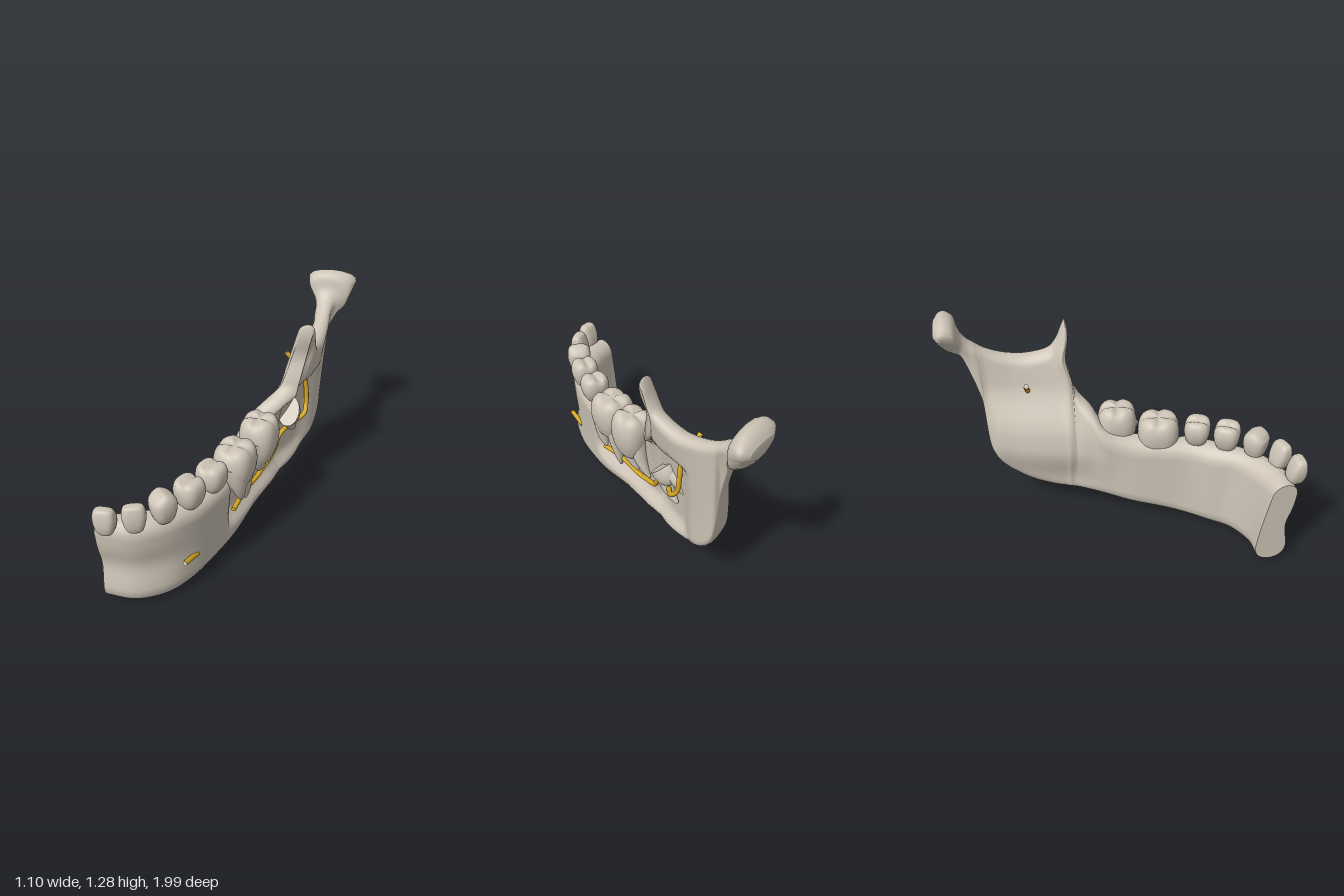
import * as THREE from 'three';
import { mergeVertices } from 'three/addons/utils/BufferGeometryUtils.js';

const bone = new THREE.MeshStandardMaterial({ color: 0xcdc4b6 });
bone.name = 'bone';
const nerve = new THREE.MeshStandardMaterial({ color: 0xd6a621 });
nerve.name = 'nerve yellow';
const { lerp, smoothstep, clamp } = THREE.MathUtils;

// Front arch stations: plan points (x, z) of inner bottom, outer bottom, inner top, outer top; then low y, high y
const arch = [
  [-.535, .735, -.535, .925, -.545, .81, -.545, .94, .01, .575],
  [-.40, .72, -.36, .92, -.42, .77, -.35, .925, 0, .58],
  [-.27, .64, -.20, .83, -.27, .68, -.19, .825, 0, .575],
  [-.20, .53, -.09, .68, -.20, .56, -.06, .67, .01, .57],
  [-.14, .41, .00, .49, -.13, .44, .03, .50, .035, .57],
  [-.10, .28, .07, .32, -.09, .28, .09, .32, .06, .58],
  [-.06, .10, .13, .10, -.05, .10, .15, .10, .095, .59],
];
// Ramus stations: z, low y, high y, inner and outer x at the bottom, inner and outer x at the top
const ramus = [
  [-.05, .12, .64, .01, .18, -.01, .20], [-.13, .13, .735, .05, .205, .09, .26],
  [-.20, .137, .80, .09, .215, .17, .32], [-.222, .138, .88, .10, .22, .23, .33],
  [-.232, .14, 1.14, .105, .222, .305, .38], [-.248, .14, 1.22, .11, .225, .31, .40],
  [-.27, .142, 1.18, .11, .235, .31, .405], [-.30, .143, 1.10, .12, .25, .305, .41],
  [-.36, .147, 1.04, .13, .28, .305, .415], [-.48, .17, 1.01, .16, .33, .315, .43],
  [-.58, .21, 1.015, .20, .36, .325, .43],
];
// Rear border, neck and condyle, in the same layout
const condyle = [
  [-.66, .265, 1.035, .24, .38, .33, .43], [-.72, .35, 1.06, .28, .39, .335, .43],
  [-.745, .45, 1.075, .29, .385, .335, .43], [-.76, .70, 1.085, .30, .37, .335, .435],
  [-.78, .80, 1.10, .31, .38, .33, .44], [-.82, .92, 1.13, .33, .42, .32, .45],
  [-.855, 1.00, 1.175, .35, .47, .27, .49], [-.88, 1.015, 1.25, .35, .50, .20, .56],
  [-.93, 1.045, 1.275, .34, .50, .18, .61], [-.97, 1.09, 1.255, .33, .50, .20, .61],
  [-.998, 1.14, 1.22, .35, .49, .28, .54],
];

// Skin closed rings of points; the first end gets a sharp flat cap
function loft(rings) {
  const pos = [], idx = [], n = rings[0].length, m = rings.length;
  const add = (p) => pos.push(p.x, p.y, p.z) / 3 - 1;
  const mid = (r) => r.reduce((s, p) => s.add(p), new THREE.Vector3()).divideScalar(n);
  rings.forEach((r) => r.forEach(add));
  const start = rings[0].map(add), c0 = add(mid(rings[0])), c1 = add(mid(rings[m - 1]));
  for (let j = 0; j < n; j++) {
    const k = (j + 1) % n;
    for (let i = 0; i < m - 1; i++) {
      const a = i * n + j, b = i * n + k;
      idx.push(a, a + n, b, b, a + n, b + n);
    }
    idx.push(c0, start[j], start[k], c1, (m - 1) * n + k, (m - 1) * n + j);
  }
  const g = new THREE.BufferGeometry();
  g.setAttribute('position', new THREE.Float32BufferAttribute(pos, 3));
  g.setIndex(idx);
  g.computeVertexNormals();
  return g;
}

const catmull = (a, b, c, d, t) =>
  b + .5 * t * (c - a + t * (2 * a - 5 * b + 4 * c - d + t * (3 * (b - c) + d - a)));

// One rounded upright slab section
function jawRing([ibx, ibz, obx, obz, itx, itz, otx, otz, yb, yt]) {
  const h = yt - yb, pts = [], ARC = 10, SIDE = 24;
  const rb = Math.min(Math.hypot(obx - ibx, obz - ibz) / 2, h * .48);
  const rt = Math.min(Math.hypot(otx - itx, otz - itz) / 2, h * .48);
  const put = (w, y) => {
    const v = Math.pow(Math.max(0, (y - yb) / h), 1.5), f = .5 + .5 * w;
    let x = lerp(lerp(ibx, itx, v), lerp(obx, otx, v), f);
    let z = lerp(lerp(ibz, itz, v), lerp(obz, otz, v), f);
    // outer wall cut back around the roots, under a rising ridge
    const ridge = .66 + .6 * clamp(-.1 - z, 0, .2);
    const cut = smoothstep(z, -.6, -.46) * (1 - smoothstep(z, .36, .42))
      * smoothstep(y, .17, .28) * (1 - smoothstep(y, ridge - .03, ridge + .05));
    x -= Math.max(0, w) * cut * .064;
    // swelling along the inner wall of the ramus
    const swell = smoothstep(z, -.8, -.68) * (1 - smoothstep(z, -.3, .02))
      * smoothstep(y, .2, .48) * (1 - smoothstep(y, .55, .85));
    x -= Math.max(0, -w) * swell * .08;
    // hollow of the chin, and hollow front edge of the coronoid
    z -= Math.max(0, w) * smoothstep(z, .6, .9) * .03 * Math.exp(-((y - .27) ** 2) / .012);
    z -= smoothstep(z, -.34, -.24) * (1 - smoothstep(z, -.22, -.1)) * .035 * Math.exp(-((y - 1) ** 2) / .008);
    pts.push(new THREE.Vector3(x, y, z));
  };
  for (const s of [-1, 1]) {
    for (let i = 0; i < ARC; i++) {
      const a = Math.PI * i / ARC;
      put(s * Math.cos(a), s < 0 ? yb + rb * (1 - Math.sin(a)) : yt - rt * (1 - Math.sin(a)));
    }
    for (let i = 0; i < SIDE; i++) put(-s, lerp(yb + rb, yt - rt, s < 0 ? i / SIDE : 1 - i / SIDE));
  }
  return pts;
}

function jawGeometry() {
  const keys = [...arch, ...[...ramus, ...condyle].map(([z, yb, yt, a, b, c, d]) =>
    [a, z, b, z, c, z, d, z, yb, yt])];
  const at = (i) => keys[clamp(i, 0, keys.length - 1)], rings = [], STEPS = 6;
  for (let n = 0; n <= (keys.length - 1) * STEPS; n++) {
    const i = Math.floor(n / STEPS), t = n / STEPS - i;
    rings.push(jawRing(keys[i].map((_, k) =>
      catmull(at(i - 1)[k], at(i)[k], at(i + 1)[k], at(i + 2)[k], t))));
  }
  return loft(rings);
}

// Stack of level ellipses, top to bottom: [x, y, z, radius x, radius z]
const stack = (levels) => loft(levels.map(([x, y, z, rx, rz]) => Array.from({ length: 20 }, (_, j) => {
  const a = j / 20 * Math.PI * 2;
  return new THREE.Vector3(x + rx * Math.cos(a), y, z - rz * Math.sin(a));
})));

// Tapering root along a bent line
function root(a, b, c, r) {
  const curve = new THREE.QuadraticBezierCurve3(...[a, b, c].map((p) => new THREE.Vector3(...p)));
  return stack(Array.from({ length: 13 }, (_, i) => {
    const t = i / 12, p = curve.getPoint(t), s = r * Math.sqrt(1.03 - t) * (1 - .25 * t);
    return [p.x, p.y, p.z, s, s];
  }));
}

// Crown from a squared-off ball: chisel edge, point, or fissured chewing face
function crown(kind, w, h, d) {
  const ball = new THREE.SphereGeometry(1, 36, 28);
  ball.deleteAttribute('uv');
  ball.deleteAttribute('normal');
  const g = mergeVertices(ball), p = g.attributes.position, e = kind === 'incisor' ? .68 : .75;
  const sq = (v, k) => Math.sign(v) * Math.pow(Math.abs(v), k);
  for (let i = 0; i < p.count; i++) {
    let x = sq(p.getX(i), e), y = sq(p.getY(i), .8), z = sq(p.getZ(i), e);
    const t = (y + 1) / 2, top = smoothstep(y, .3, .9);
    const fill = Math.min(1.3, Math.pow(Math.max(1e-3, 1 - y * y), -.14));
    const waist = (.8 + .2 * smoothstep(t, 0, .6)) * fill;
    x *= waist;
    z *= waist;
    if (kind === 'incisor') z = z * (1 - .5 * t) + .25 * t;
    if (kind === 'canine') y -= top * .25 * Math.abs(x);
    if (kind === 'premolar') y -= top * .2 * Math.exp(-((z + .1) ** 2) / .05);
    if (kind === 'molar') y -= top * .12 * Math.max(Math.exp(-x * x / .03), Math.exp(-z * z / .03));
    p.setXYZ(i, x * w / 2, y * h / 2, z * d / 2);
  }
  g.computeVertexNormals();
  return g;
}

export function createModel() {
  const model = new THREE.Group();
  model.name = 'halfLowerJaw';
  const add = (name, geo, mat = bone, parent = model) => {
    const mesh = new THREE.Mesh(geo, mat);
    mesh.name = name;
    parent.add(mesh);
    return mesh;
  };
  add('jawBone', jawGeometry());

  // Crowns: name, kind, x, z, yaw, width, depth, low y, high y
  [['centralIncisor', 'incisor', -.472, .935, .05, .122, .14, .54, .705],
    ['lateralIncisor', 'incisor', -.337, .885, .35, .127, .14, .54, .712],
    ['canineTooth', 'canine', -.215, .785, .8, .14, .15, .54, .73],
    ['firstPremolar', 'premolar', -.115, .64, 1.1, .155, .165, .54, .72],
    ['secondPremolar', 'premolar', -.035, .48, 1.2, .155, .17, .54, .715],
    ['firstMolar', 'molar', .045, .262, 1.4, .25, .235, .42, .71],
    ['secondMolar', 'molar', .135, .025, 1.45, .235, .225, .44, .75],
  ].forEach(([name, kind, x, z, yaw, w, d, y0, y1]) => {
    const tooth = add(name, crown(kind, w, y1 - y0, d));
    tooth.position.set(x, (y0 + y1) / 2, z);
    tooth.rotation.y = yaw;
  });

  // Exposed molar roots
  add('firstMolarFrontRoot', root([.05, .60, .315], [.085, .46, .34], [.085, .335, .285], .075));
  add('firstMolarRearRoot', root([.06, .60, .225], [.10, .45, .21], [.085, .255, .165], .075));
  add('secondMolarFrontRoot', root([.13, .62, .075], [.16, .47, .09], [.13, .33, -.01], .075));
  add('secondMolarRearRoot', root([.14, .62, -.02], [.17, .47, -.03], [.16, .35, -.125], .07));

  // Impacted tooth, sliced flat and tipped forward
  const impacted = new THREE.Group();
  impacted.name = 'impactedTooth';
  impacted.position.set(.255, .595, -.30);
  impacted.rotation.x = Math.PI / 4;
  model.add(impacted);
  add('impactedCrown', stack([[0, 0, 0, .065, .098], [0, -.025, 0, .07, .094], [0, -.055, 0, .068, .082],
    [0, -.085, 0, .06, .07], [0, -.11, 0, .035, .05]]), bone, impacted);
  for (const s of [-1, 1]) {
    add('impactedRoot', root([0, -.05, s * .035], [.01, -.15, s * .07], [.02, -.225, s * .05], .05), bone, impacted);
  }

  // Nerve strands with closed ends
  const strand = (name, endMaterial, pts) => {
    const curve = new THREE.CatmullRomCurve3(pts.map((p) => new THREE.Vector3(...p)));
    add(name, new THREE.TubeGeometry(curve, pts.length * 8, .0145, 12), nerve);
    for (const t of [0, 1]) {
      const cap = add(name + 'End', new THREE.CircleGeometry(.0145, 12), endMaterial), p = curve.getPoint(t);
      cap.position.copy(p);
      cap.lookAt(p.clone().addScaledVector(curve.getTangent(t), t ? 1 : -1));
    }
  };
  strand('nerveCanal', nerve, [[.05, .285, .33], [.08, .295, .15], [.12, .29, 0], [.15, .31, -.1],
    [.18, .34, -.18], [.195, .39, -.21], [.21, .44, -.26], [.27, .48, -.35], [.335, .51, -.42],
    [.34, .56, -.465], [.335, .66, -.475], [.32, .745, -.47]]);
  strand('frontNerve', bone, [[-.115, .245, .78], [-.10, .235, .73], [-.08, .215, .66]]);
  strand('innerNerve', bone, [[.195, .89, -.5], [.225, .86, -.5], [.27, .81, -.49]]);
  return model;
}
